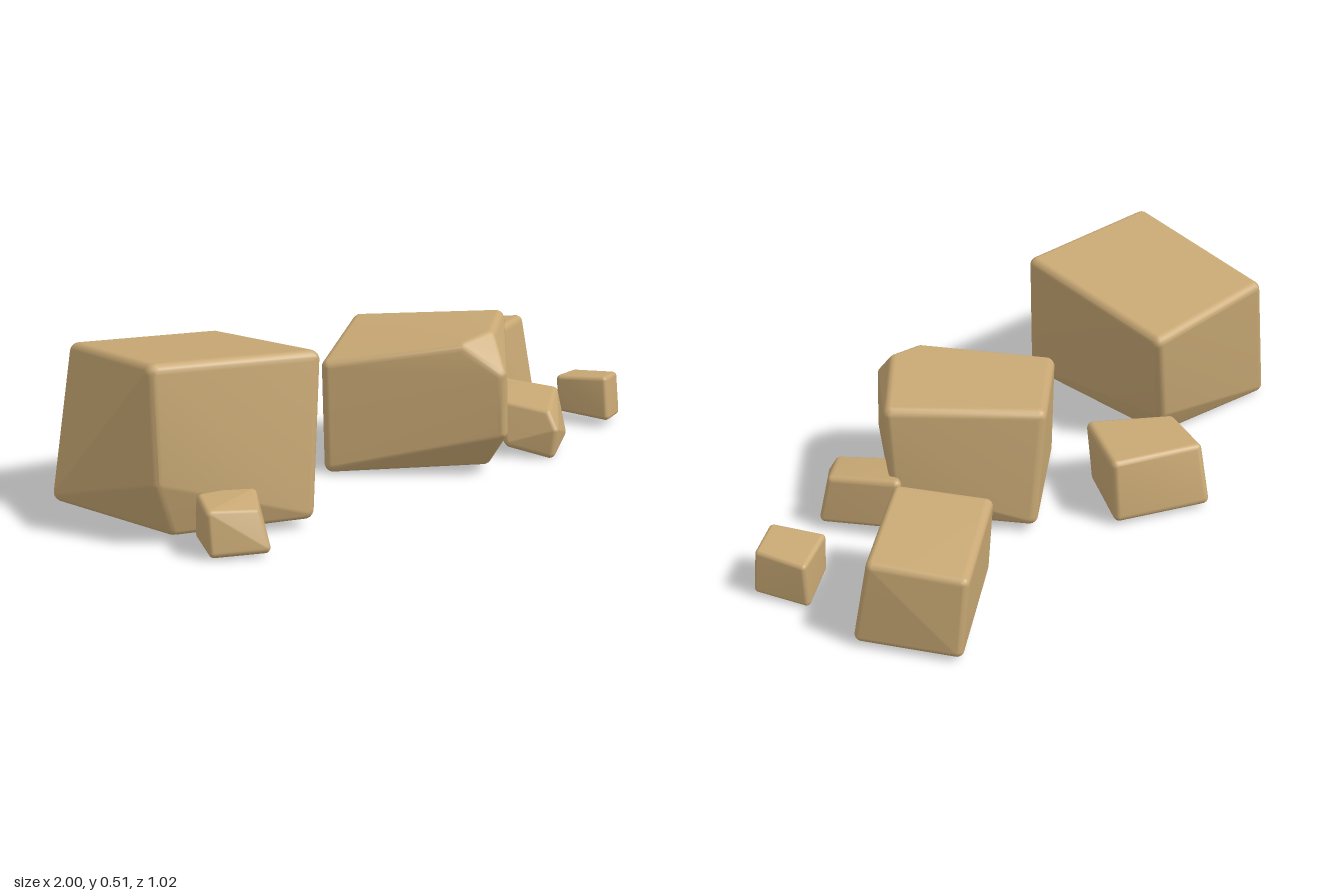
import * as THREE from 'three';
import { mergeVertices } from 'three/addons/utils/BufferGeometryUtils.js';
import { ConvexGeometry } from 'three/addons/geometries/ConvexGeometry.js';

const sandstone = new THREE.MeshStandardMaterial({ color: 0xc8a874 });
sandstone.name = 'sandstone';

// Unique points of a small ball, used to round every corner
function ballPoints(radius) {
  const g = new THREE.IcosahedronGeometry(radius, 2);
  g.deleteAttribute('normal');
  g.deleteAttribute('uv');
  const p = mergeVertices(g, 1e-5).attributes.position;
  return Array.from({ length: p.count }, (_, i) => new THREE.Vector3().fromBufferAttribute(p, i));
}

// A block with softened edges: the hull of a ball placed inside each corner
function rock(name, radius, corners) {
  const points = corners.map((c) => new THREE.Vector3(...c));
  const centre = new THREE.Vector3();
  points.forEach((p) => centre.addScaledVector(p, 1 / points.length));
  const ball = ballPoints(radius);
  const cloud = [];
  for (const p of points) {
    const inset = centre.clone().sub(p).setLength(radius * 1.35).add(p);
    for (const b of ball) cloud.push(b.clone().add(inset));
  }
  let geometry = new ConvexGeometry(cloud);
  geometry.deleteAttribute('normal');
  geometry = mergeVertices(geometry, 1e-5);
  geometry.computeVertexNormals();
  const mesh = new THREE.Mesh(geometry, sandstone);
  mesh.name = name;
  return mesh;
}

export function createModel() {
  const group = new THREE.Group();
  group.name = 'rockCluster';
  // Each rock lists its upper corners, then its lower corners
  group.add(
    rock('largeRightRock', 0.028, [
      [-1.0, 0.51, 0.24], [-0.5, 0.485, 0.375], [-0.335, 0.42, -0.23], [-0.82, 0.45, -0.33],
      [-1.0, 0.18, 0.25], [-0.94, 0.03, 0.24], [-0.565, 0.035, 0.415],
      [-0.41, 0.1, -0.21], [-0.45, 0.015, -0.18], [-0.915, 0.01, -0.315],
    ]),
    rock('middleRock', 0.028, [
      [-0.18, 0.34, 0.06], [0.08, 0.415, 0.41], [0.15, 0.33, 0.515], [0.21, 0.435, 0.42],
      [0.49, 0.425, 0.22], [0.2, 0.395, -0.16],
      [-0.175, 0.01, 0.07], [0.16, 0.13, 0.515], [0.17, 0.025, 0.44],
      [0.49, 0.16, 0.21], [0.45, 0.05, 0.2], [0.24, 0.03, -0.15],
    ]),
    rock('leftRock', 0.022, [
      [0.53, 0.29, -0.19], [0.64, 0.305, 0.07], [0.985, 0.28, -0.09], [0.875, 0.255, -0.345],
      [0.54, 0.06, -0.18], [0.65, 0.09, 0.105], [0.66, 0.02, 0.07], [1.0, 0.02, -0.045], [0.9, 0.02, -0.335],
    ]),
    rock('backRock', 0.02, [
      [-0.315, 0.185, -0.3], [-0.09, 0.21, -0.115], [0.085, 0.215, -0.32], [-0.185, 0.2, -0.48],
      [-0.315, 0.03, -0.31], [-0.1, 0.01, -0.13], [0.085, 0.02, -0.335], [-0.17, 0.02, -0.52],
    ]),
    rock('smallMiddleRock', 0.018, [
      [0.5, 0.195, 0.17], [0.58, 0.185, 0.38], [0.42, 0.145, 0.48], [0.36, 0.165, 0.31],
      [0.51, 0.05, 0.17], [0.595, 0.03, 0.41], [0.42, 0.09, 0.51], [0.42, 0.005, 0.495], [0.34, 0.035, 0.37],
    ]),
    rock('smallLeftRock', 0.014, [
      [0.935, 0.14, 0.18], [0.785, 0.155, 0.225], [0.965, 0.155, 0.34], [0.84, 0.165, 0.385],
      [0.93, 0.005, 0.18], [0.79, 0.04, 0.225], [0.97, 0.015, 0.35], [0.835, 0.03, 0.405],
    ]),
    rock('smallRightRock', 0.016, [
      [-0.955, 0.13, 0.395], [-0.82, 0.12, 0.465], [-0.745, 0.145, 0.365], [-0.87, 0.14, 0.26],
      [-0.955, 0.01, 0.41], [-0.82, 0.015, 0.5], [-0.75, 0.045, 0.38], [-0.88, 0.02, 0.27],
    ]),
  );
  return group;
}
